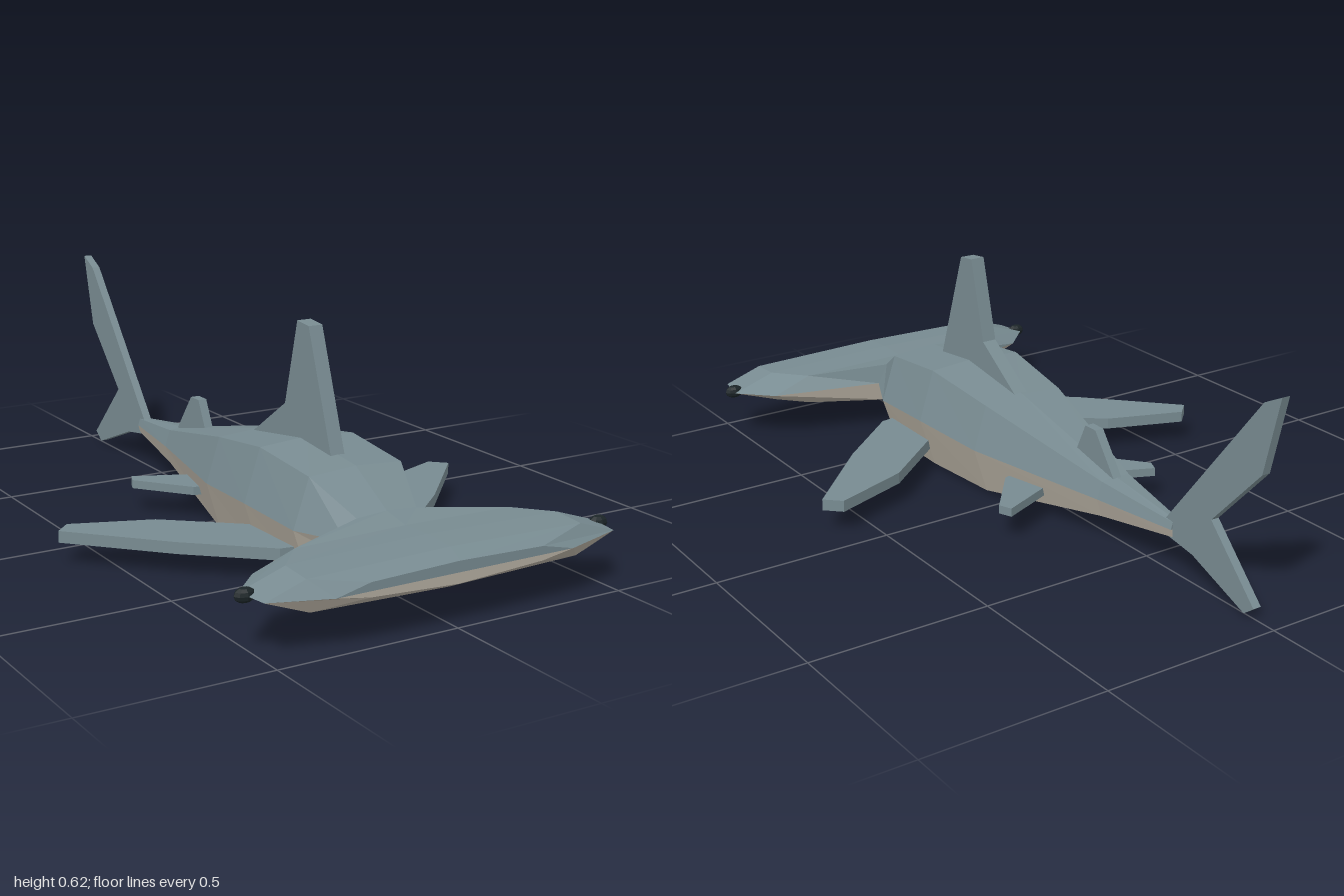
import * as THREE from 'three';

const mat = (name, color) => {
  const m = new THREE.MeshStandardMaterial({ color, flatShading: true });
  m.name = name;
  return m;
};

// Body stations, nose to tail:
// z, top y, shoulder [x, y], flank [x, y], belly edge [x, y], bottom y
const STATIONS = [
  [1.0, 0.172, [0.25, 0.165], [0.345, 0.143], [0.25, 0.128], 0.115],
  [0.96, 0.195, [0.4, 0.187], [0.51, 0.15], [0.39, 0.105], 0.095],
  [0.87, 0.2, [0.4, 0.192], [0.525, 0.15], [0.39, 0.102], 0.095],
  [0.78, 0.197, [0.32, 0.192], [0.435, 0.15], [0.32, 0.105], 0.098],
  [0.7, 0.212, [0.09, 0.206], [0.12, 0.15], [0.09, 0.09], 0.082],
  [0.56, 0.293, [0.14, 0.284], [0.185, 0.15], [0.14, 0.016], 0.005],
  [0.33, 0.316, [0.145, 0.306], [0.192, 0.16], [0.145, 0.015], 0.004],
  [0.08, 0.28, [0.125, 0.272], [0.165, 0.145], [0.125, 0.014], 0.004],
  [-0.36, 0.182, [0.045, 0.178], [0.06, 0.13], [0.045, 0.078], 0.072],
  [-0.62, 0.152, [0.012, 0.15], [0.018, 0.13], [0.012, 0.108], 0.104],
];

// Open strip of quads through the stations, with end caps
function loft(rings) {
  const n = rings[0].length, last = rings.length - 1, index = [];
  for (let i = 0; i < last; i++) {
    for (let j = 0; j < n - 1; j++) {
      const a = i * n + j, c = a + n;
      index.push(a, a + 1, c + 1, a, c + 1, c);
    }
  }
  for (let j = 1; j < n - 1; j++) {
    index.push(0, j + 1, j, last * n, last * n + j, last * n + j + 1);
  }
  const g = new THREE.BufferGeometry();
  g.setAttribute('position', new THREE.Float32BufferAttribute(rings.flat(2), 3));
  g.setIndex(index);
  const flat = g.toNonIndexed();
  flat.computeVertexNormals();
  return flat;
}

// Flat slab from an outline, centred on its thickness
function slab(points, thickness) {
  const shape = new THREE.Shape(points.map(([a, b]) => new THREE.Vector2(a, b)));
  return new THREE.ExtrudeGeometry(shape, { depth: thickness, bevelEnabled: false })
    .translate(0, 0, -thickness / 2);
}
const uprightFin = (zy, thickness) => slab(zy, thickness).rotateY(-Math.PI / 2);
const levelFin = (xz, thickness, y) => slab(xz, thickness).rotateX(Math.PI / 2).translate(0, y, 0);

export function createModel() {
  const group = new THREE.Group();
  group.name = 'hammerheadShark';
  const skin = mat('greySkin', 0x788b91);
  const pale = mat('paleBelly', 0xb4ada0);
  const black = mat('eyeBlack', 0x1c2528);

  const add = (name, geometry, material) => {
    const mesh = new THREE.Mesh(geometry, material);
    mesh.name = name;
    group.add(mesh);
    return mesh;
  };

  // Head and body: grey above the flank line, pale below it
  add('back', loft(STATIONS.map(([z, top, s, f]) => [
    [-f[0], f[1], z], [-s[0], s[1], z], [0, top, z], [s[0], s[1], z], [f[0], f[1], z],
  ])), skin);
  add('belly', loft(STATIONS.map(([z, , , f, b, bottom]) => [
    [f[0], f[1], z], [b[0], b[1], z], [0, bottom, z], [-b[0], b[1], z], [-f[0], f[1], z],
  ])), pale);

  // Upright fins, outlines as [z, y]
  add('dorsalFin', uprightFin([
    [0.48, 0.29], [0.365, 0.62], [0.31, 0.626], [0.252, 0.392], [0.09, 0.28], [0.1, 0.24], [0.45, 0.24],
  ], 0.042), skin);
  add('rearDorsalFin', uprightFin([
    [-0.2, 0.21], [-0.24, 0.292], [-0.285, 0.292], [-0.37, 0.178], [-0.36, 0.15], [-0.22, 0.17],
  ], 0.026), skin);
  add('tailFin', uprightFin([
    [-0.585, 0.145], [-0.94, 0.578], [-1.0, 0.608], [-0.945, 0.395], [-0.768, 0.213],
    [-0.937, 0.038], [-0.902, 0.012], [-0.7, 0.09], [-0.585, 0.108],
  ], 0.024), skin);

  // Paired fins, outlines as [x, z], and eyes
  for (const side of [1, -1]) {
    const label = side > 0 ? 'left' : 'right';
    const mirror = (pts) => pts.map(([x, z]) => [side * x, z]);
    add(label + 'PectoralFin', levelFin(mirror([
      [0.1, 0.545], [0.205, 0.53], [0.405, 0.355], [0.628, 0.12], [0.585, 0.078], [0.365, 0.16], [0.1, 0.38],
    ]), 0.032, 0.082), skin);
    add(label + 'PelvicFin', levelFin(mirror([
      [0.05, -0.02], [0.14, -0.04], [0.258, -0.187], [0.243, -0.224], [0.12, -0.17], [0.05, -0.14],
    ]), 0.024, 0.088), skin);
    const eye = add(label + 'Eye', new THREE.SphereGeometry(1, 8, 6), black);
    eye.scale.set(0.028, 0.019, 0.019);
    eye.position.set(side * 0.52, 0.15, 0.89);
  }
  return group;
}
